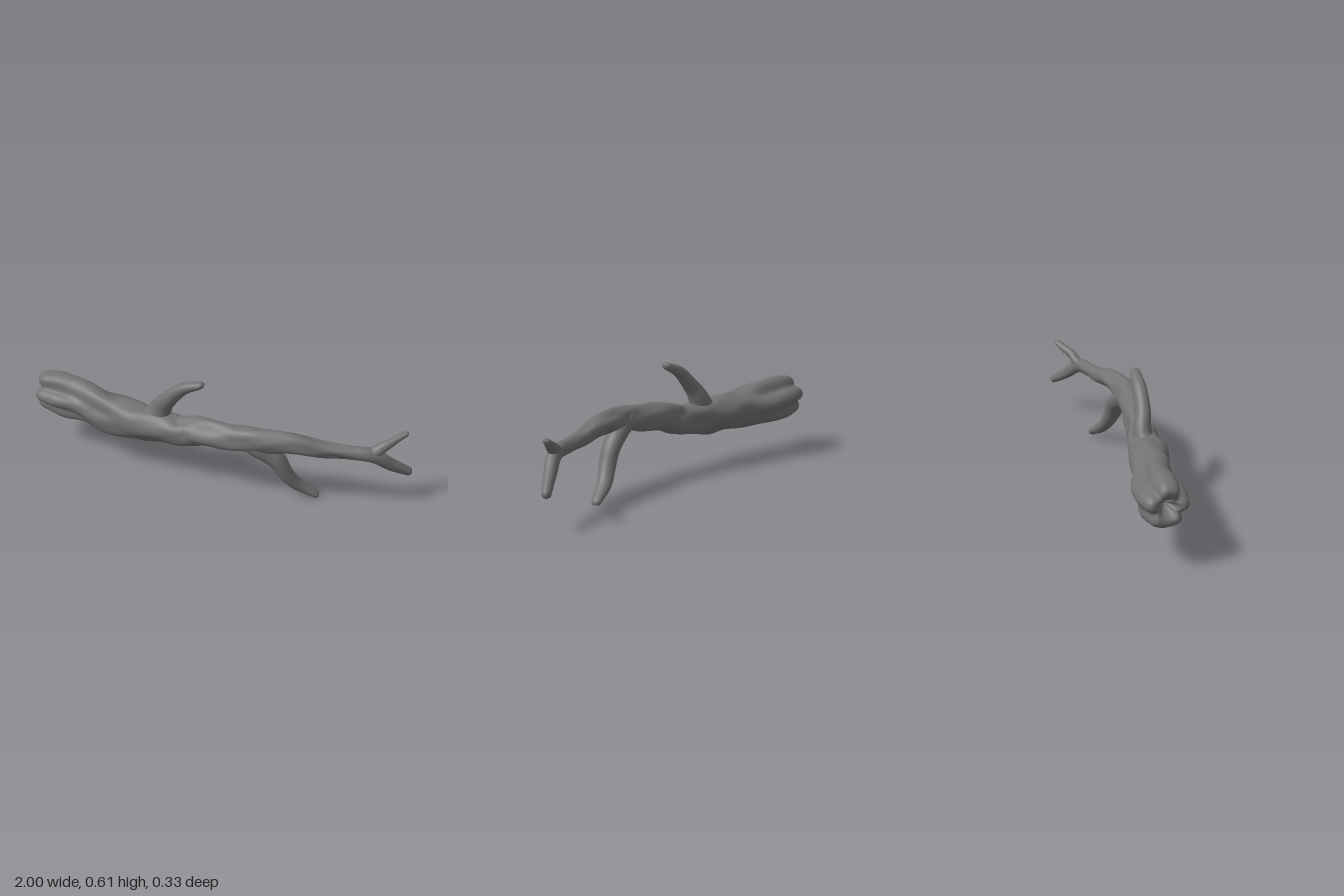
import * as THREE from 'three';

const material = new THREE.MeshStandardMaterial({ color: 0x727272 });
const SIDES = 48;

// Sweeps a gnarled limb. Rows are [x, y, z, depthRadius, heightRadius].
// relief(u, angle, x) scales the radius; startRings [scale, push] close the start.
function limb(name, rows, steps, relief, startRings = []) {
  const path = new THREE.CatmullRomCurve3(rows.map(r => new THREE.Vector3(r[0], r[1], r[2])));
  const size = new THREE.CatmullRomCurve3(rows.map(r => new THREE.Vector3(r[3], r[4], r[0])));
  const positions = [], index = [];
  let rings = 0;

  function ring(u, scale, push) {
    const c = path.getPoint(u), t = path.getTangent(u), s = size.getPoint(u);
    const a = new THREE.Vector3(0, 0, 1).addScaledVector(t, -t.z).normalize();
    const b = new THREE.Vector3().crossVectors(a, t);
    for (let j = 0; j < SIDES; j++) {
      const ang = j / SIDES * Math.PI * 2;
      const k = relief(u, ang, c.x);
      const p = c.clone()
        .addScaledVector(a, Math.cos(ang) * s.x * k * scale)
        .addScaledVector(b, Math.sin(ang) * s.y * k * scale)
        .addScaledVector(t, push * k);
      positions.push(p.x, p.y, p.z);
    }
    rings++;
  }

  for (const [scale, push] of startRings) ring(0, scale, push);
  for (let i = 0; i <= steps; i++) ring(i / steps, 1, 0);
  // rounded tip
  const tip = rows[rows.length - 1][3];
  for (let i = 1; i <= 5; i++) {
    const q = i / 5 * Math.PI / 2;
    ring(1, Math.max(Math.cos(q), 0.001), Math.sin(q) * tip);
  }

  for (let i = 0; i < rings - 1; i++) {
    for (let j = 0; j < SIDES; j++) {
      const n = (j + 1) % SIDES;
      const p = i * SIDES + j, q = i * SIDES + n;
      index.push(p, p + SIDES, q, q, p + SIDES, q + SIDES);
    }
  }
  const geometry = new THREE.BufferGeometry();
  geometry.setAttribute('position', new THREE.Float32BufferAttribute(positions, 3));
  geometry.setIndex(index);
  geometry.computeVertexNormals();
  const mesh = new THREE.Mesh(geometry, material);
  mesh.name = name;
  return mesh;
}

const bump = (d, w) => Math.exp(-(d * d) / (w * w));
// A dent or groove centred on one angle around the limb
const around = (a, centre, w) => bump(Math.atan2(Math.sin(a - centre), Math.cos(a - centre)), w);

// Trunk bark: deep clefts at the broken end, then ridges that spiral along it
function trunkRelief(u, a, x) {
  const end = 1 - THREE.MathUtils.smoothstep(x, -1, -0.45);
  const thin = 1 - THREE.MathUtils.smoothstep(x, 0.6, 0.85) * 0.7;
  const spiral = 0.06 * Math.cos(3 * a + 6 * x + 0.6) + 0.03 * Math.cos(2 * a - 13 * x + 1)
    + 0.035 * Math.sin(a + 27 * x) + 0.035 * Math.cos(4 * a + 17 * x) + 0.025 * Math.cos(5 * a - 22 * x);
  // clefts between the front, top, back and bottom lobes
  const clefts = end * (0.34 * around(a, 0.6, 0.28) + 0.34 * around(a, -0.5, 0.26)
    + 0.36 * around(a, 2.25, 0.36) + 0.32 * around(a, -2.75, 0.3));
  const hollow = 0.18 * bump(x + 0.52, 0.1) * around(a, 0.4, 0.4);
  const fold = 0.08 * bump(x + 0.1 + 0.06 * Math.sin(a), 0.03);
  return 1 + spiral * thin * (1 - 0.5 * end) - clefts - hollow - fold;
}

// Smaller limbs are only slightly uneven
const twigRelief = (u, a) => 1 + 0.06 * Math.cos(2 * a + 6 * u) + 0.06 * Math.sin(a + 13 * u);

export function createModel() {
  const group = new THREE.Group();
  group.name = 'fallenBranch';

  // Trunk, running on into the lower prong of the fork
  group.add(limb('trunk', [
    [-0.945, 0.308, -0.055, 0.11, 0.113],
    [-0.87, 0.304, -0.055, 0.121, 0.125],
    [-0.7, 0.29, -0.026, 0.104, 0.111],
    [-0.55, 0.28, 0.01, 0.101, 0.104],
    [-0.4, 0.283, 0.034, 0.091, 0.1],
    [-0.2, 0.287, 0.058, 0.075, 0.079],
    [0.0, 0.325, 0.083, 0.064, 0.074],
    [0.2, 0.352, 0.105, 0.06, 0.064],
    [0.4, 0.363, 0.083, 0.052, 0.054],
    [0.55, 0.34, 0.048, 0.042, 0.044],
    [0.7, 0.327, 0.016, 0.034, 0.036],
    [0.81, 0.315, -0.014, 0.034, 0.037],
    [0.9, 0.242, -0.07, 0.03, 0.031],
    [0.975, 0.184, -0.126, 0.023, 0.023],
  ], 200, trunkRelief, [
    [0.001, 0.02], [0.2, 0.002], [0.36, -0.028], [0.5, -0.048], [0.62, -0.055],
    [0.74, -0.053], [0.85, -0.043], [0.93, -0.029], [0.98, -0.014],
  ]));

  // Upper prong of the fork
  group.add(limb('upperProng', [
    [0.77, 0.317, 0, 0.028, 0.028],
    [0.83, 0.34, -0.025, 0.03, 0.028],
    [0.88, 0.375, -0.055, 0.024, 0.022],
    [0.945, 0.411, -0.105, 0.018, 0.016],
  ], 24, twigRelief));

  // Branch rising from the middle of the trunk
  group.add(limb('upperBranch', [
    [-0.36, 0.27, 0.035, 0.055, 0.1],
    [-0.31, 0.33, 0.037, 0.053, 0.074],
    [-0.275, 0.39, 0.04, 0.046, 0.055],
    [-0.235, 0.455, 0.05, 0.04, 0.042],
    [-0.16, 0.535, 0.06, 0.034, 0.034],
    [-0.058, 0.584, 0.063, 0.024, 0.021],
  ], 44, twigRelief));

  // Branch hanging below the thin half
  group.add(limb('lowerBranch', [
    [0.2, 0.35, 0.1, 0.05, 0.062],
    [0.275, 0.31, 0.09, 0.054, 0.055],
    [0.34, 0.25, 0.077, 0.054, 0.043],
    [0.4, 0.15, 0.053, 0.045, 0.036],
    [0.46, 0.075, 0.025, 0.036, 0.031],
    [0.536, 0.02, -0.005, 0.025, 0.021],
  ], 40, twigRelief));

  return group;
}
